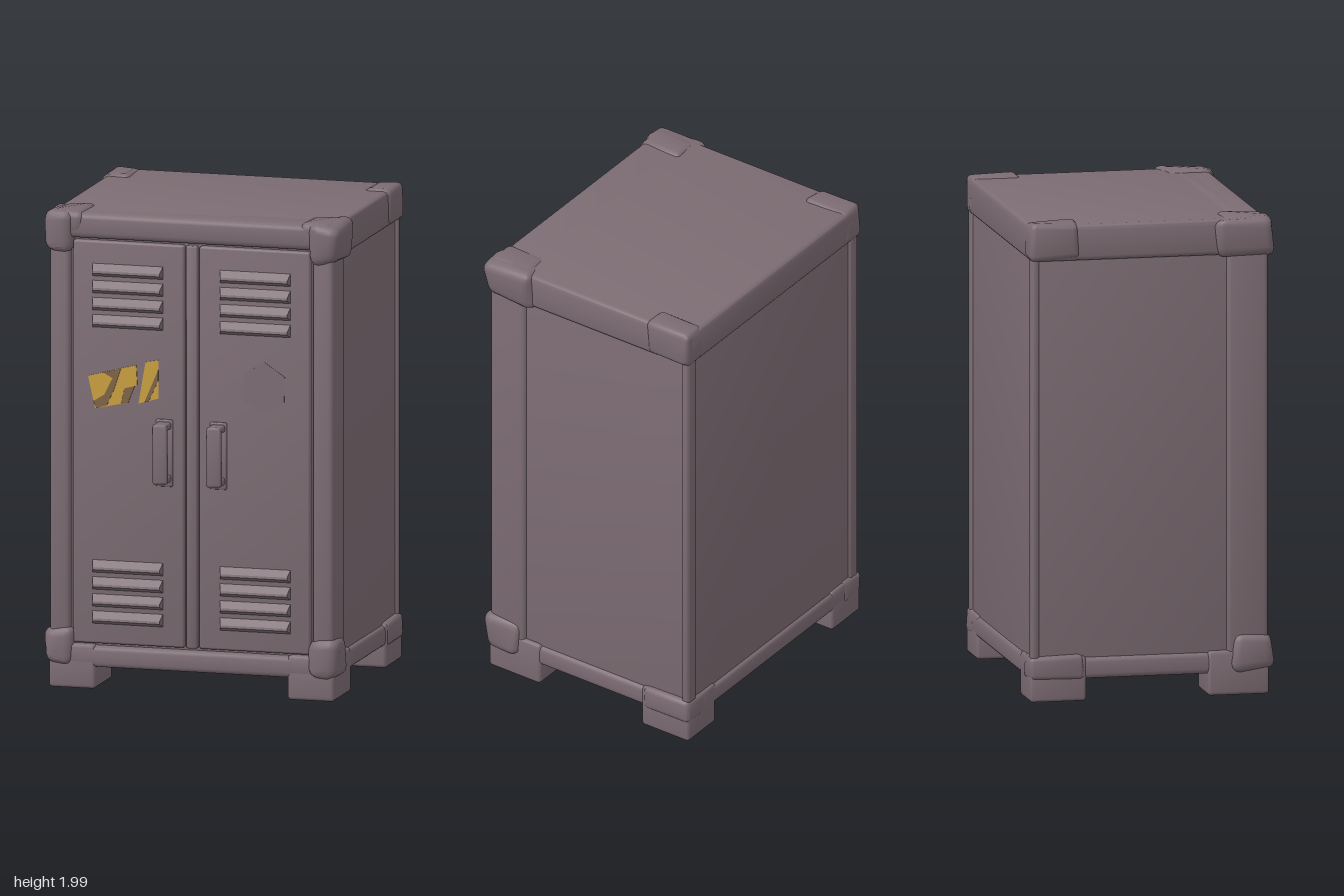
import * as THREE from 'three';
import { RoundedBoxGeometry } from 'three/addons/geometries/RoundedBoxGeometry.js';
import { toCreasedNormals } from 'three/addons/utils/BufferGeometryUtils.js';

const metal = new THREE.MeshStandardMaterial({ color: 0x7c6c73 });
metal.name = 'mauve metal';
const yellow = new THREE.MeshStandardMaterial({ color: 0xc9a03f });
yellow.name = 'sticker yellow';
const brown = new THREE.MeshStandardMaterial({ color: 0x7f6446 });
brown.name = 'sticker brown';

// Small uneven dents that depend only on position, so shared corners stay joined
function dent(geo, amount) {
  const p = geo.attributes.position;
  const h = (a, b, c, k) => Math.sin(a * 23.1 + b * 17.7 + c * 29.3 + k);
  for (let i = 0; i < p.count; i++) {
    const x = p.getX(i), y = p.getY(i), z = p.getZ(i);
    p.setXYZ(i, x + amount * h(x, y, z, 1), y + amount * h(y, z, x, 2), z + amount * h(z, x, y, 4));
  }
  return geo;
}

function add(group, name, geo, material = metal) {
  const mesh = new THREE.Mesh(geo, material);
  mesh.name = name;
  group.add(mesh);
  return mesh;
}

// Rounded box given by its minimum and maximum on each axis
function block(group, name, [x0, x1], [y0, y1], [z0, z1], radius = 0.012, rough = 0) {
  let geo = new RoundedBoxGeometry(Math.abs(x1 - x0), y1 - y0, z1 - z0, 2, radius);
  geo.translate((x0 + x1) / 2, (y0 + y1) / 2, (z0 + z1) / 2);
  if (rough) geo = dent(geo, rough);
  return add(group, name, toCreasedNormals(geo, 0.6));
}

// Thin flat plate from outline points
function plate(group, name, points, z, depth, material) {
  const shape = new THREE.Shape(points.map(([x, y]) => new THREE.Vector2(x, y)));
  const geo = new THREE.ExtrudeGeometry(shape, { depth, bevelEnabled: false });
  return add(group, name, geo.translate(0, 0, z), material);
}

// Louvre: a pointed ridge running along x with pinched ends
function louvre(group, cx, cy) {
  const shape = new THREE.Shape();
  shape.moveTo(0, -0.024);
  shape.lineTo(0.028, -0.008);
  shape.lineTo(0.026, 0.002);
  shape.lineTo(0, 0.03);
  shape.closePath();
  const geo = new THREE.ExtrudeGeometry(shape, { depth: 0.3, bevelEnabled: false });
  geo.translate(0, 0, -0.15).rotateY(-Math.PI / 2);
  const p = geo.attributes.position;
  for (let i = 0; i < p.count; i++) {
    if (p.getZ(i) > 0.01) p.setX(i, p.getX(i) * 0.95);
  }
  geo.computeVertexNormals();
  add(group, 'louvre', geo).position.set(cx, cy, 0.458);
}

function handle(group, side) {
  const g = new THREE.Group();
  g.name = 'handle';
  block(g, 'handleBase', [-0.036, 0.036], [0.86, 1.14], [0.45, 0.466], 0.006);
  block(g, 'handleGrip', [-0.031, 0.031], [0.88, 1.13], [0.511, 0.54], 0.01, 0.002);
  block(g, 'handleMount', [-0.029, 0.029], [0.88, 0.91], [0.455, 0.53], 0.008);
  block(g, 'handleMount', [-0.029, 0.029], [1.1, 1.13], [0.455, 0.53], 0.008);
  g.position.x = side * 0.115;
  group.add(g);
}

export function createModel() {
  const locker = new THREE.Group();
  locker.name = 'locker';

  // Cabinet shell, lid and base
  block(locker, 'cabinet', [-0.588, 0.588], [0.1, 1.95], [-0.522, 0.435]);
  block(locker, 'lid', [-0.607, 0.607], [1.83, 1.98], [-0.535, 0.4], 0.02);
  block(locker, 'topRail', [-0.6, 0.6], [1.875, 1.98], [0.3, 0.466], 0.025);
  block(locker, 'base', [-0.603, 0.603], [0.09, 0.18], [-0.535, 0.466], 0.022);

  for (const s of [-1, 1]) {
    // Corner posts
    block(locker, 'frontPost', [s * 0.517, s * 0.605], [0.12, 1.92], [0.29, 0.464], 0.02);
    block(locker, 'backPost', [s * 0.54, s * 0.602], [0.12, 1.9], [-0.53, -0.495], 0.014);

    // Feet
    block(locker, 'frontFoot', [s * 0.41, s * 0.608], [0, 0.185], [0.21, 0.466], 0.014);
    block(locker, 'backFoot', [s * 0.41, s * 0.608], [0, 0.185], [-0.535, -0.3], 0.014);

    // Battered corner caps
    block(locker, 'topFrontCap', [s * 0.5, s * 0.63], [1.82, 1.985], [0.24, 0.485], 0.04, 0.007);
    block(locker, 'topFrontInset', [s * 0.46, s * 0.6], [1.88, 1.988], [0.27, 0.47], 0.03, 0.004);
    block(locker, 'topBackCap', [s * 0.5, s * 0.615], [1.835, 1.988], [-0.536, -0.33], 0.025, 0.004);
    block(locker, 'bottomFrontCap', [s * 0.5, s * 0.625], [0.095, 0.255], [0.31, 0.485], 0.04, 0.006);
    block(locker, 'bottomBackCap', [s * 0.49, s * 0.612], [0.09, 0.19], [-0.536, -0.31], 0.02, 0.003);
  }

  // Doors with louvres and handles
  for (const s of [-1, 1]) {
    const door = new THREE.Group();
    door.name = s < 0 ? 'rightDoor' : 'leftDoor';
    block(door, 'doorPanel', [s * 0.032, s * 0.506], [0.19, 1.868], [0.42, 0.459], 0.01);
    for (const top of [1.745, 0.51]) {
      for (let i = 0; i < 4; i++) louvre(door, s * 0.272, top - i * 0.071);
    }
    handle(door, s);
    locker.add(door);
  }
  block(locker, 'doorSeam', [-0.024, 0.024], [0.19, 1.868], [0.42, 0.463], 0.008);

  // Torn hazard sticker: yellow pieces with slanted brown stripes
  const z = 0.458;
  plate(locker, 'stickerLeft', [[-0.41, 1.17], [-0.3, 1.195], [-0.285, 1.26], [-0.23, 1.275],
    [-0.235, 1.36], [-0.44, 1.305]], z, 0.005, yellow);
  plate(locker, 'stickerRight', [[-0.225, 1.2], [-0.14, 1.225], [-0.14, 1.385], [-0.195, 1.375]],
    z, 0.005, yellow);
  plate(locker, 'stickerStripe', [[-0.418, 1.2], [-0.405, 1.172], [-0.36, 1.185], [-0.33, 1.25],
    [-0.3, 1.34], [-0.375, 1.322], [-0.335, 1.3], [-0.37, 1.23]], z, 0.007, brown);
  plate(locker, 'stickerStripe', [[-0.3, 1.196], [-0.27, 1.2], [-0.24, 1.275], [-0.285, 1.26]], z, 0.004, brown);
  plate(locker, 'stickerStripe', [[-0.2, 1.206], [-0.18, 1.213], [-0.14, 1.3], [-0.14, 1.345]], z, 0.007, brown);

  // Faint hexagonal mark on the other door
  const hex = [];
  for (let i = 0; i < 6; i++) {
    const a = (i / 6) * Math.PI * 2 + 0.5;
    hex.push([0.31 + 0.1 * Math.cos(a), 1.29 + 0.11 * Math.sin(a)]);
  }
  plate(locker, 'hexMark', hex, z, 0.003, metal);

  return locker;
}
